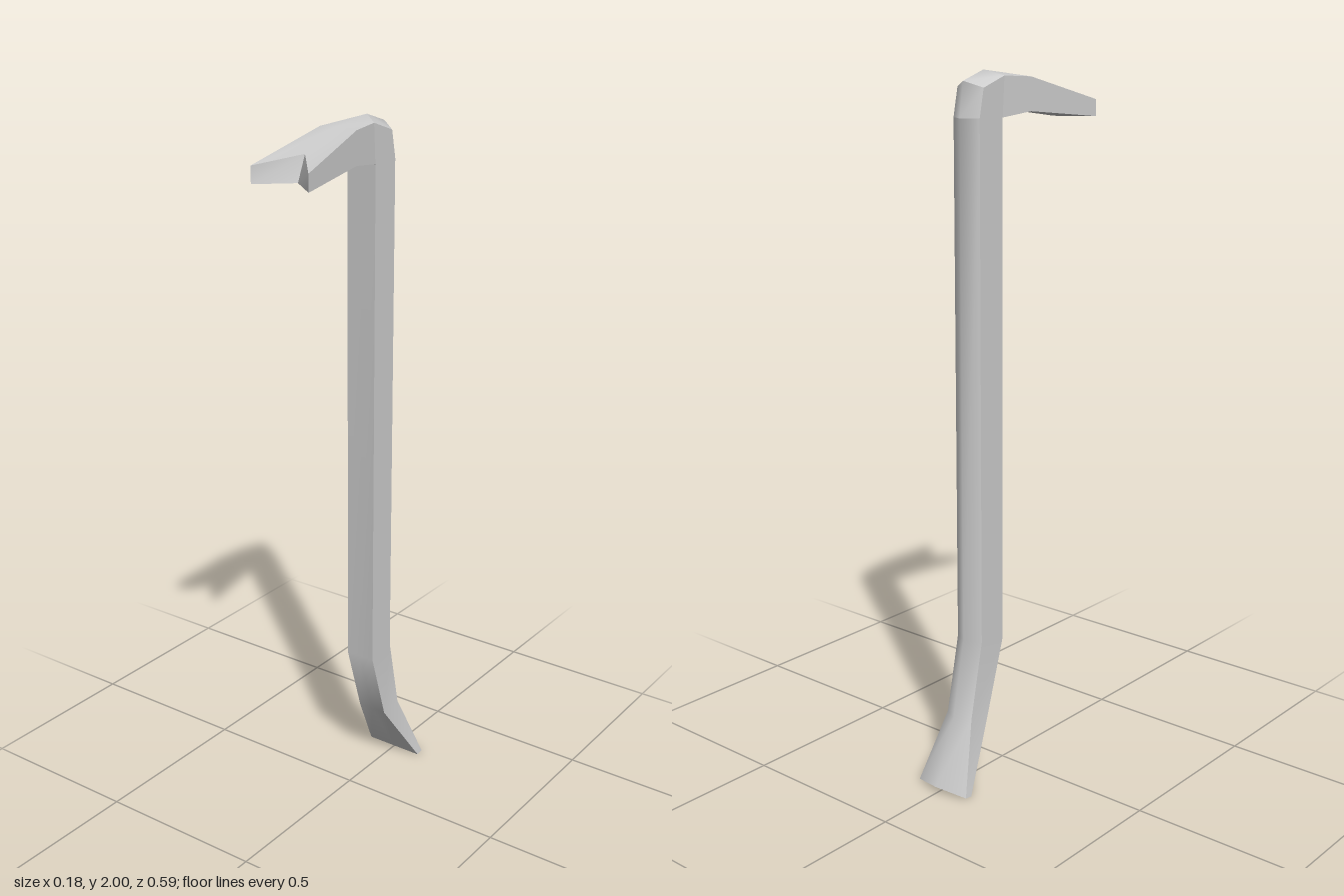
import * as THREE from 'three';
import { mergeGeometries } from 'three/addons/utils/BufferGeometryUtils.js';

// Cross-sections from claw tip to foot, each [z, y] in the centre plane:
// w = half width, edge = outer corners, ridge = outer centre, inner = inner corners, mid = inner centre
const sections = [
  { w: 0.09, edge: [0.295, 1.912], ridge: [0.19, 1.935], inner: [0.295, 1.866], mid: [0.22, 1.867] },
  { w: 0.058, edge: [0.05, 1.98], ridge: [0.05, 1.984], inner: [0.05, 1.89] },
  { w: 0.045, edge: [-0.045, 1.985], ridge: [-0.077, 2.0], inner: [-0.052, 1.878] },
  { w: 0.045, edge: [-0.128, 1.957], ridge: [-0.157, 1.974], inner: [-0.053, 1.877] },
  { w: 0.045, edge: [-0.144, 1.88], ridge: [-0.171, 1.88], inner: [-0.053, 1.876] },
  { w: 0.045, edge: [-0.144, 0.425], ridge: [-0.171, 0.43], inner: [-0.053, 0.41] },
  { w: 0.045, edge: [-0.19, 0.205], ridge: [-0.216, 0.205], inner: [-0.118, 0.197] },
  { w: 0.089, edge: [-0.266, 0.003], ridge: [-0.295, 0.02], inner: [-0.243, 0] },
];

// Six points round a section, starting at the outer right corner
function ringPoints({ w, edge, ridge, inner, mid = inner }) {
  const p = (x, [z, y]) => [x, y, z];
  return [p(-w, edge), p(0, ridge), p(w, edge), p(w, inner), p(0, mid), p(-w, inner)];
}
const rings = sections.map(ringPoints);

// Smooth surface over a grid of points (rows of equal length)
function gridSurface(rows) {
  const n = rows[0].length;
  const index = [];
  for (let i = 0; i < rows.length - 1; i++) {
    for (let j = 0; j < n - 1; j++) {
      const a = i * n + j, d = a + n;
      index.push(a, a + 1, d + 1, a, d + 1, d);
    }
  }
  const g = new THREE.BufferGeometry();
  g.setAttribute('position', new THREE.Float32BufferAttribute(rows.flat(2), 3));
  g.setIndex(index);
  g.computeVertexNormals();
  return g;
}

// The four long faces between two sections; the ridge stays soft, the corners sharp
function sweep(from, to) {
  const faces = [[0, 1, 2], [2, 3], [3, 4, 5], [5, 0]];
  return faces.map(f => gridSurface(rings.slice(from, to + 1).map(r => f.map(k => r[k]))));
}

// End face made of two halves, so it can fold into a notch
function cap(ring, reverse) {
  return [[0, 1, 4, 5], [1, 2, 3, 4]].map(([a, b, c, d]) => {
    const rows = reverse ? [[ring[b], ring[a]], [ring[c], ring[d]]] : [[ring[a], ring[b]], [ring[d], ring[c]]];
    return gridSurface(rows);
  });
}

export function createModel() {
  const group = new THREE.Group();
  group.name = 'pryBar';
  const material = new THREE.MeshStandardMaterial({ color: 0xcccccc });
  const add = (name, pieces) => {
    const mesh = new THREE.Mesh(mergeGeometries(pieces), material);
    mesh.name = name;
    group.add(mesh);
  };

  // Notched claw at the top
  add('claw', [...sweep(0, 2), ...cap(rings[0], true)]);
  // Faceted bend between claw and shaft
  add('bend', [...sweep(2, 3), ...sweep(3, 4)]);
  // Straight shaft running into the flared, angled foot
  add('shaftAndFoot', [...sweep(4, 7), ...cap(rings[7], false)]);

  return group;
}
